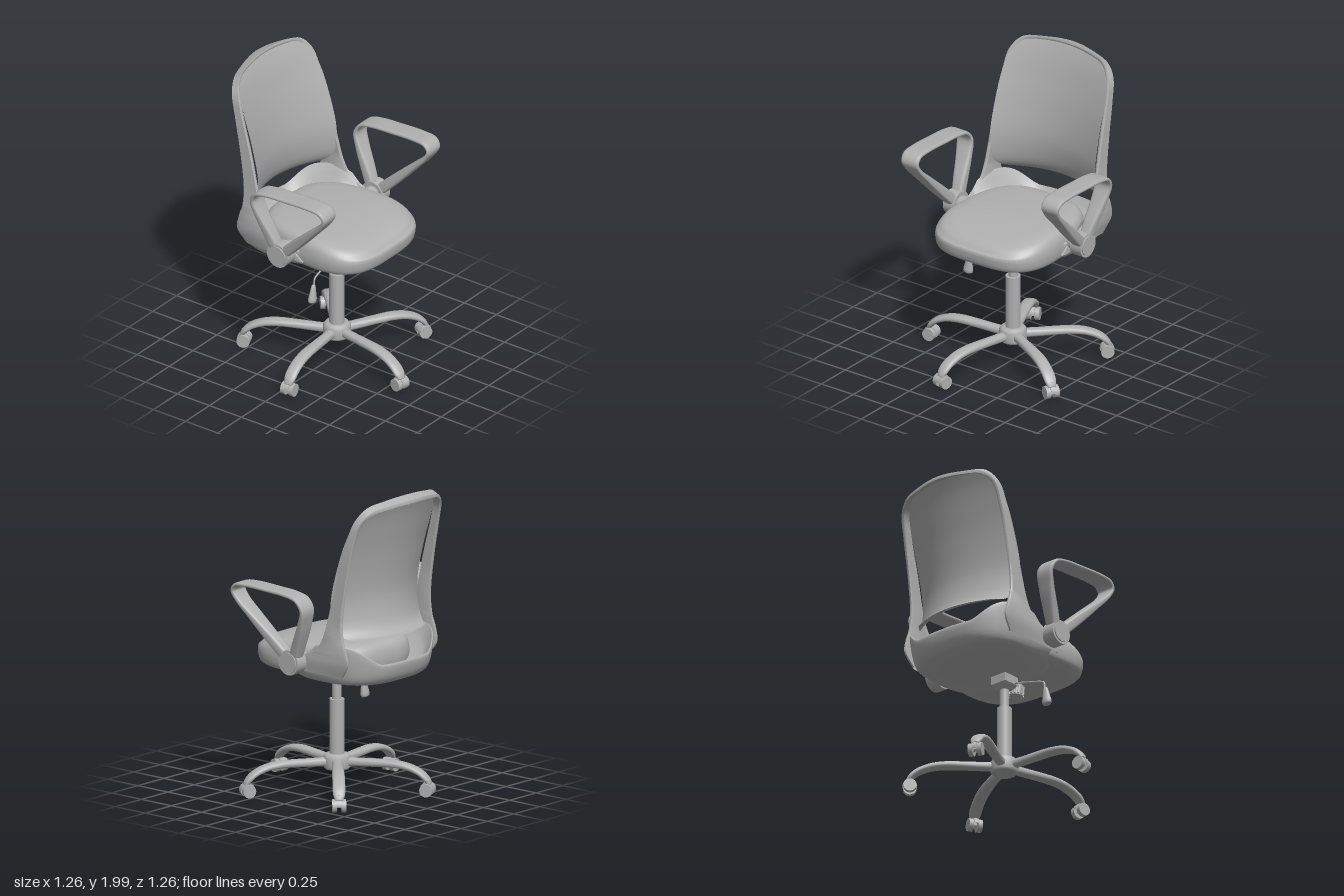
import * as THREE from 'three';
import { mergeVertices, toCreasedNormals } from 'three/addons/utils/BufferGeometryUtils.js';

const grey = new THREE.MeshStandardMaterial({ color: 0xb0b0b0, side: THREE.DoubleSide });
grey.name = 'grey';

const V = (x, y, z = 0) => new THREE.Vector3(x, y, z);
const spline = (pts) => new THREE.CatmullRomCurve3(pts.map((p) => V(...p)));
const mix = THREE.MathUtils.lerp;
const smooth = THREE.MathUtils.smoothstep;
const power = (v, e) => Math.sign(v) * Math.abs(v) ** e;

function add(parent, name, geometry, x = 0, y = 0, z = 0) {
  const mesh = new THREE.Mesh(geometry, grey);
  mesh.name = name;
  mesh.position.set(x, y, z);
  parent.add(mesh);
  return mesh;
}

// Surface from rows of points; fn(i, j) returns a Vector3
function grid(rows, cols, fn, crease = 0) {
  const pos = [], index = [];
  for (let i = 0; i <= rows; i++) for (let j = 0; j <= cols; j++) pos.push(...fn(i, j).toArray());
  for (let i = 0; i < rows; i++) for (let j = 0; j < cols; j++) {
    const a = i * (cols + 1) + j, b = a + cols + 1;
    index.push(a, b, a + 1, b, b + 1, a + 1);
  }
  let geo = new THREE.BufferGeometry();
  geo.setAttribute('position', new THREE.Float32BufferAttribute(pos, 3));
  geo.setIndex(index);
  geo = mergeVertices(geo, 1e-5);
  geo.computeVertexNormals();
  return crease ? toCreasedNormals(geo, crease) : geo;
}

// Rounded bar along a curve in the xy plane; size(t, p) gives [height, zMin, zMax]
function sweep(pts, rows, size, cols = 20, n = 3) {
  const curve = spline(pts);
  return grid(rows, cols, (i, j) => {
    const t = THREE.MathUtils.clamp((i - 1) / (rows - 2), 0, 1);
    const k = i === 0 || i === rows ? 0 : 1;
    const p = curve.getPoint(t), d = curve.getTangent(t);
    const [h, z0, z1] = size(t, p);
    const a = (j % cols) / cols * Math.PI * 2;
    const u = k * power(Math.sin(a), 2 / n) * h / 2, w = k * power(Math.cos(a), 2 / n) / 2;
    return V(p.x - d.y * u, p.y + d.x * u, (z0 + z1) / 2 + w * (z1 - z0));
  });
}

// Stacked rounded outlines following a profile of [scale, y]
function cushion(profile, outline, shift) {
  const curve = spline(profile), cols = 64;
  return grid(40, cols, (i, j) => {
    const p = curve.getPoint(i / 40);
    const [x, z, cz] = outline((j % cols) / cols * Math.PI * 2);
    const s = Math.max(0, p.x), q = V(x * s, p.y, cz + z * s);
    q.y += shift(q, i / 40);
    return q;
  });
}

function buildSeat(chair) {
  add(chair, 'seatCushion', cushion(
    [[0, 0.82], [0.6, 0.82], [0.91, 0.822], [0.975, 0.845], [1, 0.9], [0.99, 0.955], [0.955, 0.995], [0.87, 1.022], [0.5, 1.038], [0, 1.042]],
    (a) => {
      const c = power(Math.cos(a), 0.6), s = power(Math.sin(a), 0.62);
      return [c * (0.405 + 0.03 * s - 0.02 * s * s), s * 0.435, 0.01];
    },
    (q, t) => (t > 0.45 ? -0.3 * Math.max(0, q.z) ** 2 * smooth(t, 0.45, 0.7) : 0.05 * Math.max(0, q.z) ** 2)));

  // Bowl behind and below the cushion, its rim rising into the uprights
  add(chair, 'seatShell', cushion(
    [[0, 0.805], [0.6, 0.805], [0.85, 0.802], [0.955, 0.85], [1, 0.92], [0.985, 0.937], [0.95, 0.92], [0.85, 0.88], [0, 0.87]],
    (a) => [power(Math.cos(a), 0.72) * 0.437, power(Math.sin(a), 0.72) * 0.39, -0.2],
    (q, t) => 0.13 * smooth(t, 0.3, 0.55) * smooth(Math.abs(q.x), 0.2, 0.42) * smooth(-q.z, 0.05, 0.25)));
}

function buildBack(chair) {
  // Half of the frame: x, y, front z, back z
  const half = [
    [0.42, 0.86, 0.04, -0.4], [0.435, 0.95, -0.06, -0.46], [0.44, 1.04, -0.22, -0.445], [0.437, 1.12, -0.265, -0.42],
    [0.43, 1.25, -0.3, -0.412], [0.422, 1.5, -0.36, -0.445], [0.412, 1.73, -0.43, -0.492], [0.39, 1.87, -0.475, -0.532],
    [0.32, 1.958, -0.52, -0.57], [0.19, 1.986, -0.55, -0.605]];
  const all = [...half, [0, 1.998, -0.565, -0.632], ...half.slice().reverse().map(([x, ...r]) => [-x, ...r])];
  const front = spline(all.map((p) => [p[0], p[1], p[2]]));
  const back = spline(all.map((p) => [p[0], p[1], p[3]]));
  const section = [[0, 0.3], [0.06, 0], [0.94, 0], [1, 0.3], [1, 0.8], [0.94, 1], [0.06, 1], [0, 0.7]];
  add(chair, 'backFrame', grid(100, 8, (i, j) => {
    const t = i / 100, f = front.getPoint(t), b = back.getPoint(t), d = front.getTangent(t);
    const [k, inset] = section[j % 8], m = Math.hypot(d.x, d.y) || 1;
    const q = f.lerp(b, k), w = inset * 0.024;
    q.x -= d.y / m * w * 1;
    q.y += d.x / m * w;
    // The top lip droops toward the rear
    q.y -= 0.025 * k * k * smooth(q.y, 1.85, 1.98);
    return q;
  }, 0.7));

  // Curved panel with a lumbar bulge and a lip flared to the rear: half width, y, centre z
  const edge = spline([
    [0.3, 1.09, -0.545], [0.355, 1.1, -0.505], [0.395, 1.14, -0.468], [0.41, 1.21, -0.442], [0.412, 1.35, -0.426], [0.408, 1.58, -0.456],
    [0.4, 1.75, -0.496], [0.375, 1.87, -0.53], [0.31, 1.948, -0.56], [0.2, 1.978, -0.575], [0, 1.986, -0.582]]);
  add(chair, 'backPanel', grid(60, 32, (i, j) => {
    const p = edge.getPoint(i / 60), x = (j / 16 - 1) * p.x;
    return V(x, p.y, p.z + (0.05 + 0.1 * (2 - p.y)) * (x / 0.41) ** 2);
  }));
}

function buildArm(chair, side) {
  const arm = new THREE.Group();
  arm.name = side > 0 ? 'leftArm' : 'rightArm';
  const path = [[-0.045, 0.94], [0.07, 1.05], [0.22, 1.195], [0.315, 1.29], [0.343, 1.345], [0.315, 1.385], [0.22, 1.397],
    [0.05, 1.392], [-0.1, 1.383], [-0.185, 1.36], [-0.222, 1.3], [-0.195, 1.2], [-0.13, 1.05], [-0.085, 0.94]];
  const loop = add(arm, 'armLoop', sweep(path, 90, (t, p) => {
    const f = smooth(p.y, 0.85, 1.42) * 0.3 + 0.7 * (p.y - 0.93) / 0.47;
    const a = mix(0.46, 0.485, f), b = mix(0.53, 0.622, f);
    const h = mix(0.07, 0.026, smooth(p.y, 1.0, 1.37));
    return side > 0 ? [h, -b, -a] : [h, a, b];
  }, 20, 4));
  loop.rotation.y = -Math.PI / 2;
  const disc = (name, r, x0, x1) => {
    add(arm, name, new THREE.CylinderGeometry(r, r, x1 - x0, 32), side * (x0 + x1) / 2, 0.93, -0.065).rotation.z = Math.PI / 2;
  };
  disc('armMount', 0.055, 0.4, 0.47);
  disc('armPivot', 0.08, 0.455, 0.538);
  disc('armPivotCap', 0.066, 0.53, 0.546);
  chair.add(arm);
}

function buildMechanism(chair) {
  add(chair, 'mechanismBox', new THREE.BoxGeometry(0.12, 0.07, 0.12), 0, 0.785, 0);
  const taper = add(chair, 'mechanismTaper', new THREE.CylinderGeometry(0.085, 0.045, 0.035, 4), 0, 0.733, 0);
  taper.rotation.y = Math.PI / 4;
  add(chair, 'upperColumn', new THREE.CylinderGeometry(0.03, 0.03, 0.18, 24), 0, 0.66, 0);
  add(chair, 'lowerColumn', new THREE.CylinderGeometry(0.048, 0.048, 0.38, 32), 0, 0.4, 0);

  // Tension knob with grip ribs
  const knob = new THREE.Group();
  knob.name = 'tensionKnob';
  knob.position.set(0.02, 0.76, 0.135);
  knob.rotation.x = 0.12;
  add(knob, 'knobBody', new THREE.CylinderGeometry(0.045, 0.042, 0.07, 24));
  add(knob, 'knobNeck', new THREE.CylinderGeometry(0.03, 0.03, 0.06, 16), 0, 0.05, 0);
  for (let i = 0; i < 12; i++) {
    const a = i * Math.PI / 6;
    add(knob, 'knobRib', new THREE.BoxGeometry(0.01, 0.06, 0.01), Math.cos(a) * 0.045, 0, Math.sin(a) * 0.045).rotation.y = -a;
  }
  chair.add(knob);

  // Height lever
  const rod = spline([[-0.02, 0.77, 0.03], [-0.12, 0.745, 0.035], [-0.27, 0.708, 0.045], [-0.293, 0.695, 0.045], [-0.3, 0.64, 0.045]]);
  add(chair, 'leverRod', new THREE.TubeGeometry(rod, 30, 0.006, 8));
  const grip = [[0, 0.06], [0.013, 0.058], [0.018, 0.045], [0.034, -0.035], [0.034, -0.052], [0.027, -0.06], [0, -0.062]];
  const handle = add(chair, 'leverHandle', new THREE.LatheGeometry(grip.map((p) => new THREE.Vector2(...p)).reverse(), 20), -0.312, 0.597, 0.045);
  handle.rotation.z = -0.12;
  handle.scale.z = 0.7;
}

function buildBase(chair) {
  const hub = [[0, 0.14], [0.075, 0.14], [0.088, 0.155], [0.088, 0.215], [0.075, 0.235], [0.05, 0.24], [0, 0.24]];
  add(chair, 'baseHub', new THREE.LatheGeometry(hub.map((p) => new THREE.Vector2(...p)), 40));
  const path = [[0.05, 0.188], [0.15, 0.19], [0.27, 0.194], [0.38, 0.194], [0.47, 0.18], [0.55, 0.145], [0.592, 0.105], [0.605, 0.08]];
  const legGeo = sweep(path, 40, (t) => {
    const w = mix(0.062, 0.08, smooth(t, 0.05, 0.5)) - 0.025 * smooth(t, 0.75, 1);
    return [mix(0.058, 0.032, t), -w / 2, w / 2];
  }, 20, 2.4);
  const wheelGeo = new THREE.CylinderGeometry(0.042, 0.042, 0.03, 24).rotateX(Math.PI / 2);
  const hoodGeo = new THREE.CylinderGeometry(0.046, 0.046, 0.03, 20, 1, false, 0, Math.PI).rotateX(Math.PI / 2).rotateZ(Math.PI / 2);
  for (let i = 0; i < 5; i++) {
    const leg = new THREE.Group();
    leg.name = 'baseLeg';
    leg.rotation.y = -(101.5 + 72 * i) * Math.PI / 180;
    add(leg, 'legArm', legGeo);
    add(leg, 'casterStem', new THREE.CylinderGeometry(0.014, 0.014, 0.06, 12), 0.595, 0.085, 0);
    add(leg, 'casterHood', hoodGeo, 0.592, 0.047, 0);
    add(leg, 'casterAxle', new THREE.CylinderGeometry(0.014, 0.014, 0.07, 12).rotateX(Math.PI / 2), 0.592, 0.046, 0);
    for (const s of [-1, 1]) add(leg, 'casterWheel', wheelGeo, 0.592, 0.045, s * 0.029);
    chair.add(leg);
  }
}

export function createModel() {
  const chair = new THREE.Group();
  chair.name = 'officeChair';
  buildSeat(chair);
  buildBack(chair);
  for (const side of [1, -1]) buildArm(chair, side);
  buildMechanism(chair);
  buildBase(chair);
  return chair;
}
